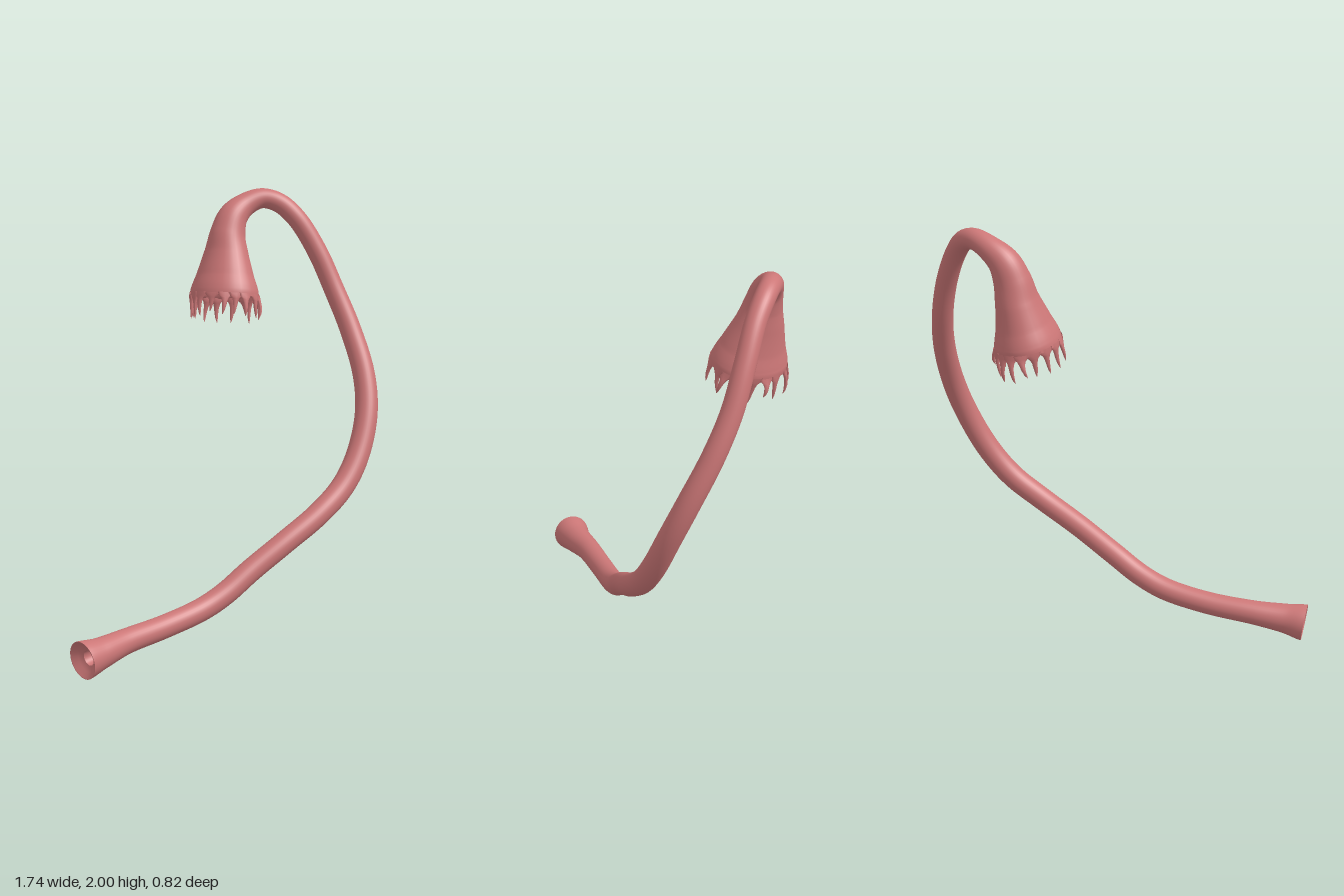
import * as THREE from 'three';

const V = (x, y, z) => new THREE.Vector3(x, y, z);
const material = new THREE.MeshStandardMaterial({ color: 0xcc7777, side: THREE.DoubleSide });

// Skin over closed rings (arrays of Vector3 with equal counts)
function loft(name, rings) {
  const n = rings[0].length, index = [];
  for (let i = 0; i < rings.length - 1; i++) {
    for (let j = 0; j < n; j++) {
      const a = i * n + j, b = i * n + (j + 1) % n;
      index.push(a, b, a + n, b, b + n, a + n);
    }
  }
  const geometry = new THREE.BufferGeometry().setFromPoints(rings.flat());
  geometry.setIndex(index);
  geometry.computeVertexNormals();
  const mesh = new THREE.Mesh(geometry, material);
  mesh.name = name;
  return mesh;
}

// Stations along the centre line: x, y, z, radius, stretch along z
const stations = [
  [-0.86, 0.085, 0.13, 0.085, 1], [-0.77, 0.098, 0.137, 0.069, 1], [-0.62, 0.12, 0.137, 0.056, 1],
  [-0.4, 0.148, 0.158, 0.052, 1], [-0.2, 0.193, 0.19, 0.052, 1], [-0.08, 0.248, 0.217, 0.052, 1],
  [0.05, 0.335, 0.25, 0.052, 1], [0.22, 0.445, 0.302, 0.052, 1], [0.4, 0.555, 0.345, 0.053, 1],
  [0.55, 0.665, 0.36, 0.054, 1], [0.66, 0.80, 0.355, 0.054, 1], [0.75, 0.98, 0.325, 0.053, 1],
  [0.798, 1.15, 0.265, 0.052, 1], [0.815, 1.35, 0.165, 0.05, 1], [0.80, 1.53, 0.075, 0.048, 1],
  [0.76, 1.71, 0, 0.047, 1], [0.70, 1.86, -0.075, 0.046, 1], [0.648, 1.932, -0.14, 0.046, 1],
  [0.59, 1.953, -0.195, 0.047, 1], [0.52, 1.925, -0.235, 0.055, 1], [0.455, 1.87, -0.253, 0.07, 1],
  [0.42, 1.79, -0.254, 0.083, 1.02], [0.402, 1.7, -0.246, 0.097, 1.16], [0.38, 1.6, -0.232, 0.122, 1.2],
  [0.368, 1.54, -0.224, 0.142, 1.19], [0.362, 1.505, -0.22, 0.148, 1.17],
];

export function createModel() {
  const group = new THREE.Group();
  const SEGMENTS = 32, STEPS = 200;
  const path = new THREE.CatmullRomCurve3(stations.map(s => V(s[0], s[1], s[2])));

  // Interpolate radius and stretch with the same parameter as the path
  const sizeAt = t => {
    const f = t * (stations.length - 1), i = Math.min(Math.floor(f), stations.length - 2);
    const k = f - i, at = m => stations[Math.max(0, Math.min(stations.length - 1, m))];
    const mix = c => {
      const [p, q, r, s] = [at(i - 1)[c], at(i)[c], at(i + 1)[c], at(i + 2)[c]];
      return q + 0.5 * k * (r - p + k * (2 * p - 5 * q + 4 * r - s + k * (3 * (q - r) + s - p)));
    };
    return { r: mix(3), stretch: mix(4) };
  };

  // Twist-free frames carried along the path
  const frames = [];
  let normal = V(0, 1, 0);
  for (let i = 0; i <= STEPS; i++) {
    const t = i / STEPS, tangent = path.getTangent(t);
    normal = normal.clone().addScaledVector(tangent, -normal.dot(tangent)).normalize();
    frames.push({ c: path.getPoint(t), tangent, normal, side: tangent.clone().cross(normal), ...sizeAt(t) });
  }
  const pointOn = (f, a, scale = 1) => {
    const o = f.normal.clone().multiplyScalar(Math.cos(a)).addScaledVector(f.side, Math.sin(a));
    o.multiplyScalar(f.r * scale);
    o.z *= f.stretch;
    return o.add(f.c);
  };
  const ring = (i, scale) =>
    Array.from({ length: SEGMENTS }, (_, j) => pointOn(frames[i], j / SEGMENTS * Math.PI * 2, scale));

  // Long tube widening into the bell
  group.add(loft('tubeWall', frames.map((_, i) => ring(i, 1))));

  // Dished end face with a small bore
  group.add(loft('tubeEndFace', [ring(3, 0.42), ring(2, 0.72), ring(0, 0.95), ring(0, 1)]));
  group.add(loft('tubeBore', [ring(18, 0.05), ring(17, 0.5), ring(10, 0.46), ring(3, 0.42)]));

  // Hollow inside of the bell, narrowing to the throat
  const inner = [ring(STEPS, 1), ring(STEPS, 0.94)];
  for (let i = STEPS - 3; i >= 160; i -= 3) inner.push(ring(i, 0.62 + 0.3 * (i - 160) / 40));
  inner.push(ring(159, 0.02));
  group.add(loft('bellLining', inner));

  // Ragged fringe of tapering fingers round the rim
  let seed = 11;
  const rand = () => (seed = (seed * 16807) % 2147483647) / 2147483647;
  const fringe = new THREE.Group();
  fringe.name = 'fringe';
  const rim = frames[STEPS], COUNT = 17;
  // Distance along the finger, half width, half thickness
  const profile = [[-0.12, 0.034, 0.007], [0.06, 0.029, 0.009], [0.18, 0.018, 0.009], [0.36, 0.012, 0.008],
    [0.6, 0.009, 0.007], [0.82, 0.006, 0.005], [1, 0.001, 0.001]];
  for (let k = 0; k < COUNT; k++) {
    const a = (k + 0.35 * (rand() - 0.5)) / COUNT * Math.PI * 2;
    const base = pointOn(rim, a, 0.965);
    const out = base.clone().sub(rim.c).normalize();
    const across = rim.tangent.clone().cross(out).normalize();
    const length = 0.075 + 0.045 * rand(), flare = 0.03 * (rand() - 0.25), lean = 0.03 * (rand() - 0.5);
    const rings = profile.map(([d, w, h]) => {
      const u = Math.max(d, 0);
      const c = base.clone().addScaledVector(rim.tangent, d * length)
        .addScaledVector(out, flare * Math.sin(u * 2.2)).addScaledVector(across, lean * u * u);
      return Array.from({ length: 8 }, (_, j) => {
        const b = j / 8 * Math.PI * 2;
        return c.clone().addScaledVector(out, h * Math.cos(b)).addScaledVector(across, w * Math.sin(b));
      });
    });
    fringe.add(loft('fringeFinger', rings));
  }
  group.add(fringe);
  return group;
}
